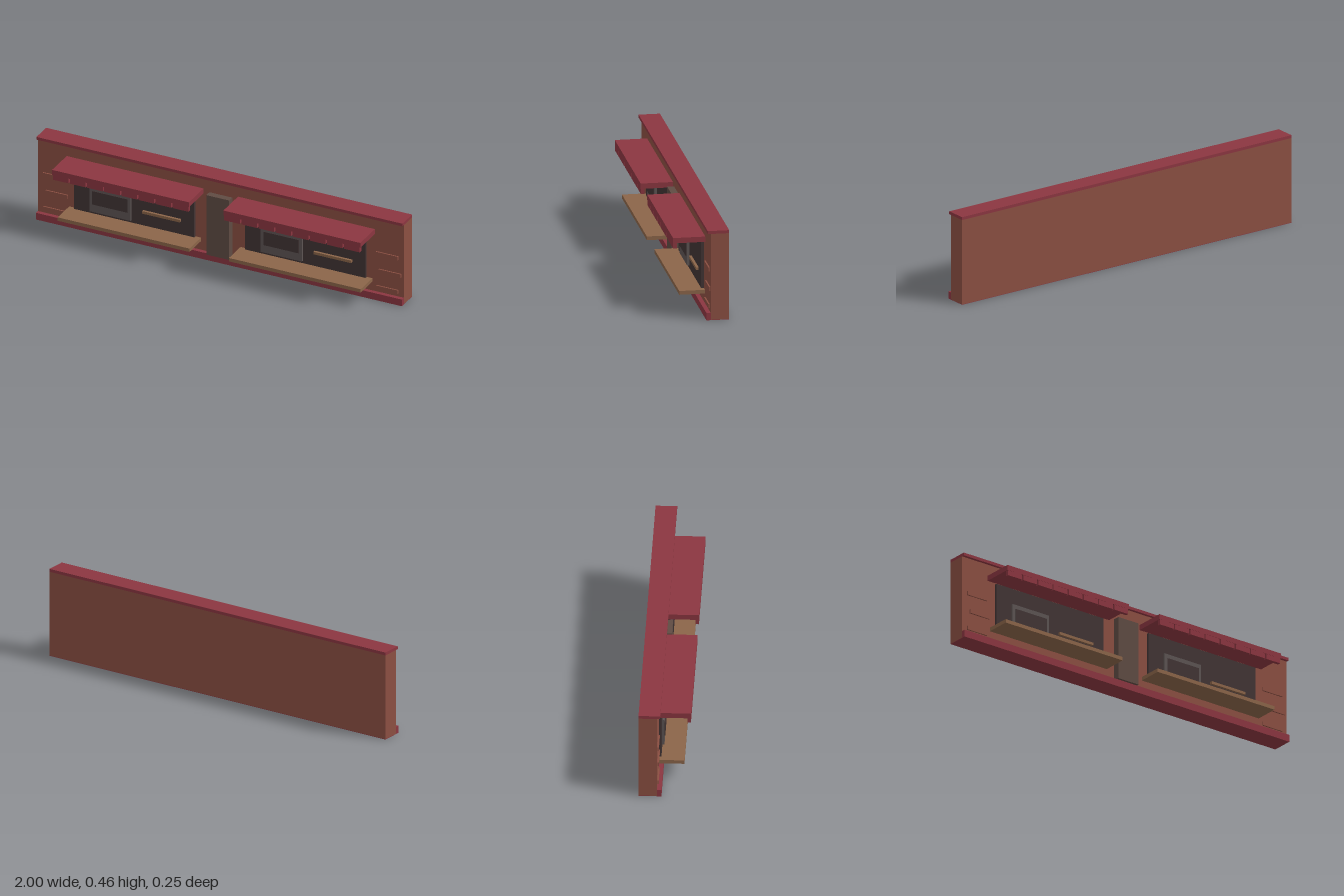
import * as THREE from 'three';

const mat = (name, color) => {
  const m = new THREE.MeshStandardMaterial({ color });
  m.name = name;
  return m;
};

export function createModel() {
  const brick = mat('brick brown', 0x8b4f42);
  const maroon = mat('maroon trim', 0x8b3640);
  const wood = mat('counter wood', 0x8b6549);
  const doorBrown = mat('door brown', 0x5f4b43);
  const dark = mat('dark opening', 0x413434);
  const grey = mat('warm grey', 0x5c5453);

  const model = new THREE.Group();
  model.name = 'shopFront';

  // Box given by its extents along each axis
  const box = (parent, name, material, [x0, x1], [y0, y1], [z0, z1]) => {
    const mesh = new THREE.Mesh(new THREE.BoxGeometry(x1 - x0, y1 - y0, z1 - z0), material);
    mesh.position.set((x0 + x1) / 2, (y0 + y1) / 2, (z0 + z1) / 2);
    mesh.name = name;
    parent.add(mesh);
    return mesh;
  };

  const back = -0.125, face = -0.034;

  // Wall with its base course and coping
  box(model, 'wall', brick, [-1, 1], [0.002, 0.44], [back, face]);
  box(model, 'basePlate', maroon, [-1, 1], [0, 0.002], [back, face]);
  box(model, 'baseCourse', maroon, [-1, 1], [0, 0.037], [face, -0.0125]);
  box(model, 'coping', maroon, [-1, 1], [0.44, 0.455], [back, -0.019]);

  // Door between the two stalls
  box(model, 'door', doorBrown, [-0.0625, 0.0625], [0.037, 0.367], [face, 0]);

  // Raised bricks at both ends, the middle one staggered
  for (const side of [-1, 1]) {
    [0.063, 0.156, 0.25].forEach((y, i) => {
      const x = side * 0.91 + (i === 1 ? 0.016 : 0);
      box(model, 'raisedBrick', brick, [x - 0.06, x + 0.06], [y - 0.01, y + 0.01], [face, -0.027]);
    });
  }

  // One stall: opening, oven, rail, counter and awning with a split valance
  const addStall = (name, x) => {
    const stall = new THREE.Group();
    stall.name = name;
    stall.position.x = x;
    model.add(stall);

    box(stall, 'opening', dark, [-0.329, 0.329], [0.104, 0.345], [face, -0.021]);
    box(stall, 'ovenFrame', grey, [-0.238, -0.013], [0.118, 0.258], [-0.021, -0.01]);
    box(stall, 'ovenWindow', dark, [-0.222, -0.029], [0.161, 0.235], [-0.01, -0.0065]);
    box(stall, 'rail', wood, [0.051, 0.257], [0.175, 0.189], [-0.021, -0.008]);
    box(stall, 'counter', wood, [-0.36, 0.36], [0.085, 0.104], [face, 0.093]);
    box(stall, 'awning', maroon, [-0.374, 0.374], [0.353, 0.38], [face, 0.126]);

    const count = 8, pitch = 0.748 / count, gap = 0.004;
    for (let i = 0; i < count; i++) {
      const x0 = -0.374 + i * pitch;
      box(stall, 'valanceFlap', maroon, [x0 + gap, x0 + pitch - gap], [0.326, 0.353], [0.107, 0.125]);
    }
  };
  addStall('rightStall', -0.468);
  addStall('leftStall', 0.468);

  return model;
}
